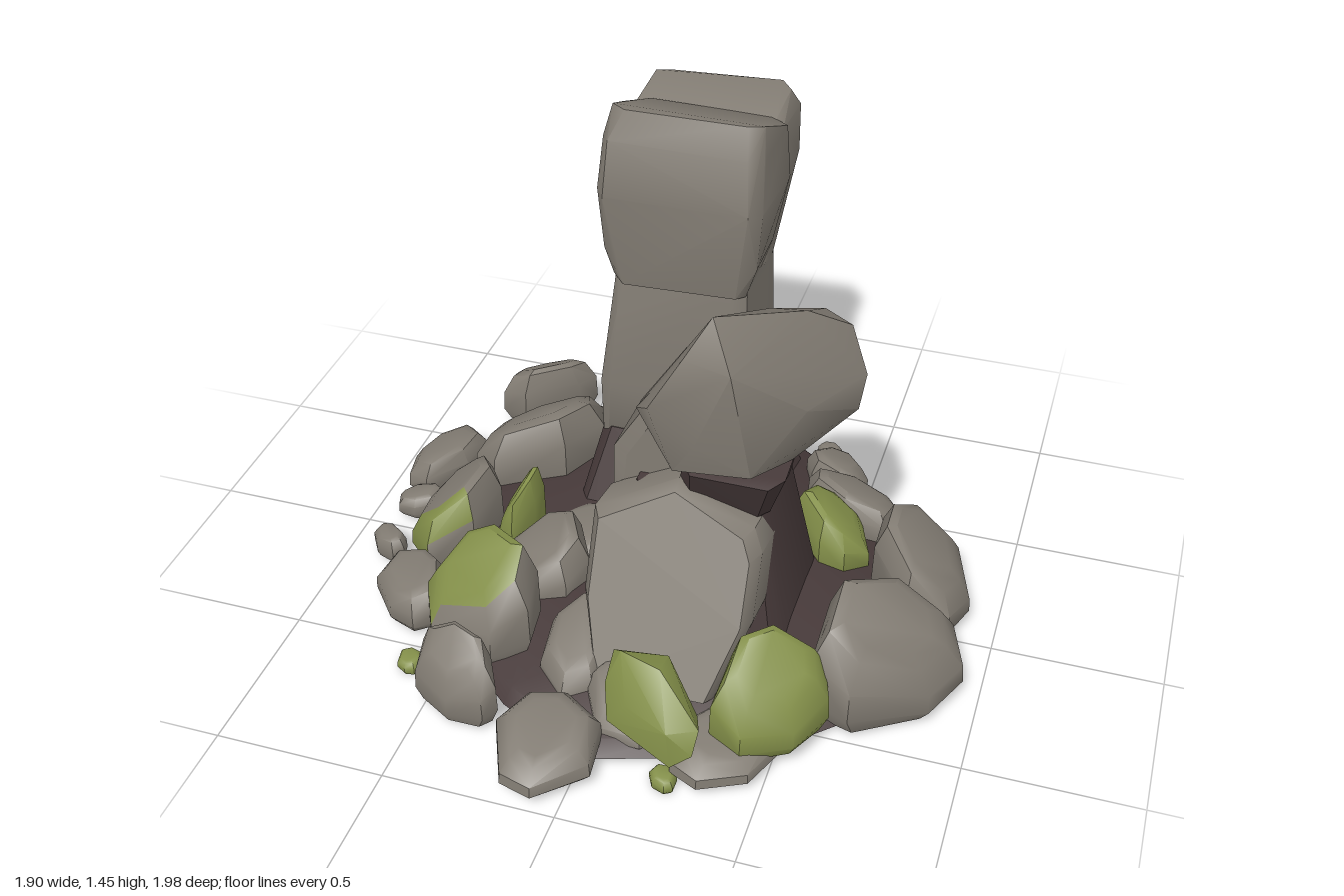
import * as THREE from 'three';
import { toCreasedNormals } from 'three/addons/utils/BufferGeometryUtils.js';
import { ConvexGeometry } from 'three/addons/geometries/ConvexGeometry.js';

const V = (x, y, z) => new THREE.Vector3(x, y, z);

export function createModel() {
  const group = new THREE.Group();
  group.name = 'rockFormation';
  const material = (name, color) => {
    const m = new THREE.MeshStandardMaterial({ color });
    m.name = name;
    return m;
  };
  const stone = material('stone', 0x827c73);
  const moss = material('moss', 0x84904a);
  const earth = material('earth', 0x473a3a);

  // Small seeded generator, returns -1..1
  let seed = 17;
  const rnd = () => {
    seed = (seed * 16807) % 2147483647;
    return (seed / 2147483647) * 2 - 1;
  };

  // Convex stone; triangles facing mossDir become mossy
  function hull(name, points, mat, mossDir) {
    const geo = toCreasedNormals(new ConvexGeometry(points), 0.7);
    let mats = mat;
    if (mossDir) {
      mats = [mat, moss];
      const p = geo.attributes.position;
      const tri = new THREE.Triangle();
      const n = V(0, 0, 0);
      for (let i = 0; i < p.count; i += 3) {
        tri.setFromAttributeAndIndices(p, i, i + 1, i + 2).getNormal(n);
        geo.addGroup(i, 3, n.dot(mossDir) > 0.68 ? 1 : 0);
      }
    }
    const mesh = new THREE.Mesh(geo, mats);
    mesh.name = name;
    group.add(mesh);
  }

  // Block from chamfered rectangular rings [y, x0, x1, z0, z1]; y may slope along z by a sixth value
  function block(name, rings, mat) {
    const c = 0.035, jitter = 0.01;
    const pts = [];
    for (const [y, x0, x1, z0, z1, slope = 0] of rings) {
      for (const [x, z] of [[x0 + c, z0], [x1 - c, z0], [x1, z0 + c], [x1, z1 - c],
        [x1 - c, z1], [x0 + c, z1], [x0, z1 - c], [x0, z0 + c]]) {
        const dy = slope * ((z - z0) / (z1 - z0) - 0.5);
        pts.push(V(x + rnd() * jitter, y + dy + rnd() * jitter, z + rnd() * jitter));
      }
    }
    hull(name, pts, mat);
  }

  // Irregular rubble stone of width w and depth d from y0 up to y1, its top falling away
  // from the centre; skew turns the long axis of its outline
  function rock(name, [x, z, w, d, y1, skew], y0, mat, mossDir) {
    const h = y1 - y0, slope = Math.min(0.45, y1 * 1.4);
    const out = new THREE.Vector2(x, z).normalize();
    const start = rnd() * Math.PI;
    const sides = Array.from({ length: 7 }, (_, i) =>
      [start + (i / 7) * Math.PI * 2 + rnd() * 0.2, 1.06 + rnd() * 0.05]);
    const pts = [];
    for (const [f, r] of [[0, 0.84], [0.25, 1], [0.62, 0.98], [0.92, 0.76], [1, 0.56]]) {
      for (const [a, k] of sides) {
        const lx = Math.cos(a) * k * r, lz = Math.sin(a + skew) * k * r;
        const fall = f * slope * h * (lx * out.x + lz * out.y + 0.4);
        pts.push(V(x + lx * w / 2, y0 + f * h - fall, z + lz * d / 2));
      }
    }
    hull(name, pts, mat, mossDir);
  }

  // Earth mound with an uneven outline
  const radii = [.82, .85, .78, .76, .8, .72, .66, .76, .82, .85, .88, .83, .92, .78, .72, .8];
  const mound = [];
  for (const [y, k] of [[0.02, 1], [0.06, 0.95], [0.13, 0.5]]) {
    radii.forEach((r, i) => {
      const a = (i / 16) * Math.PI * 2;
      mound.push(V(Math.cos(a) * r * k, y, Math.sin(a) * r * k));
    });
  }
  hull('earthMound', mound, earth);

  // Tall pillar on its earth foot
  block('pillarFoot', [[0.05, -0.36, 0.26, -0.68, -0.12], [0.2, -0.31, 0.2, -0.61, -0.2],
    [0.36, -0.29, 0.17, -0.58, -0.24]], earth);
  block('pillarShaft', [[0.34, -0.3, 0.17, -0.58, -0.24], [0.55, -0.285, 0.16, -0.565, -0.2],
    [0.8, -0.265, 0.15, -0.545, -0.23], [0.96, -0.24, 0.16, -0.55, -0.24]], stone);
  block('pillarHeadFront', [[0.91, -0.25, 0.16, -0.5, -0.23], [1.0, -0.275, 0.18, -0.51, -0.21],
    [1.2, -0.285, 0.21, -0.52, -0.2], [1.36, -0.275, 0.2, -0.51, -0.23],
    [1.41, -0.25, 0.19, -0.5, -0.26, 0.08]], stone);
  block('pillarHeadBack', [[0.91, -0.25, 0.16, -0.55, -0.4], [1.02, -0.28, 0.18, -0.63, -0.42],
    [1.2, -0.28, 0.2, -0.68, -0.42], [1.34, -0.265, 0.2, -0.69, -0.44],
    [1.375, -0.24, 0.18, -0.67, -0.46, -0.04]], stone);

  // Leaning column: earth foot, side block, neck and head boulder
  block('columnFoot', [[0.05, -0.1, 0.44, -0.14, 0.3], [0.37, -0.05, 0.38, -0.08, 0.24],
    [0.55, -0.02, 0.36, -0.08, 0.24]], earth);
  block('columnSideBlock', [[0.3, 0, 0.31, -0.23, -0.04], [0.55, -0.01, 0.3, -0.24, -0.03]], stone);
  block('columnNeck', [[0.46, -0.11, 0.26, -0.16, 0.17], [0.6, -0.11, 0.32, -0.14, 0.17],
    [0.84, 0.04, 0.42, -0.09, 0.17]], stone);
  block('columnNeckBack', [[0.53, 0, 0.35, -0.16, 0], [0.82, 0.12, 0.47, -0.11, 0.03]], stone);
  block('columnSeam', [[0.53, 0.1, 0.37, 0, 0.25], [0.7, 0.14, 0.42, 0.02, 0.33]], earth);
  hull('leaningBoulder', [
    [.22, 1.2, .31], [.16, 1.1, .38], [.3, 1.1, .42], [.42, 1.13, .1], [.52, 1.03, -.02],
    [.43, 1.03, -.08], [0, .85, .28], [.06, .92, .37], [.13, .73, .37], [.42, .71, .2],
    [.41, .67, .04], [.3, .68, -.04], [.58, .92, .04], [.57, .83, .08], [.49, .82, -.1],
    [.47, .93, .27], [.35, .76, .38], [.08, .86, .16], [.29, 1.04, -.02], [.2, .85, .41],
  ].map((p) => V(...p)), stone);

  // Slab propped against the front
  const slab = [];
  for (const [x, y] of [[-.11, .52], [.12, .63], [.35, .54], [.38, .48], [.38, .3],
    [.3, .08], [-.05, .08], [-.11, .3]]) {
    const z = 0.28 + (0.65 - y) * 0.46;
    slab.push(V(x, y, z - 0.02), V(x * 0.9 + 0.013, y * 0.94 + 0.02, z + 0.025), V(x, y - 0.03, z - 0.16));
  }
  hull('proppedSlab', slab, stone);

  // Plain rubble stones: [x, z, width, depth, top, skew]
  const backStones = [
    [.12, -.78, .27, .25, .27, .4], [.4, -.57, .2, .21, .17, .2], [.49, -.39, .33, .24, .22, .3],
    [-.55, -.4, .39, .4, .3, -.3], [-.65, -.71, .28, .25, .24, -.4], [-.4, -.61, .2, .18, .15, 0],
    [-.84, -.28, .21, .3, .16, -.2], [-.85, -.08, .14, .12, .1, -.2],
  ];
  const frontStones = [
    [.755, -.13, .29, .41, .29, .1], [.73, .3, .41, .42, .37, -.4], [.38, .66, .28, .32, .12, -.3],
    [-.09, .82, .3, .32, .15, 0], [-.4, .7, .27, .17, .27, .4], [-.69, .34, .25, .27, .16, .4],
    [-.86, .14, .12, .12, .1, .5],
  ];
  const innerStones = [
    [-.33, .18, .3, .28, .27, 0], [-.12, .47, .2, .34, .2, .2],
    [-.22, -.03, .4, .3, .18, 0], [.09, .58, .28, .32, .16, 0],
  ];
  for (const [name, list] of Object.entries({ backStone: backStones, frontStone: frontStones, innerStone: innerStones }))
    list.forEach((r, i) => rock(name + (i + 1), r, 0.02, stone));

  // Stones with moss on one side only
  rock('backMossPatchStone', [-.265, -.82, .31, .32, .36, -.3], 0.02, stone, V(-0.1, 0.45, 0.9).normalize());
  rock('leftMossPatchStone', [-.67, .04, .26, .38, .3, 0], 0.03, stone, V(-0.3, 0.45, 0.84).normalize());
  rock('mossToppedStone', [-.435, .425, .35, .29, .37, .2], 0.04, stone, V(-0.35, 0.9, 0.15).normalize());

  // Fully mossy stones
  [
    [.465, -.215, .25, .25, .27, .3], [.475, .58, .29, .3, .36, -.4], [-.465, .02, .13, .24, .32, .1],
  ].forEach((r, i) => rock(`mossyStone${i + 1}`, r, 0.06, moss));
  hull('mossySlab', [
    [.05, .3, .64], [.08, .33, .67], [.2, .32, .7], [.33, .2, .77], [.32, .13, .8], [.26, .08, .81],
    [.06, .13, .74], [.04, .22, .69], [.2, .3, .62], [.3, .16, .68], [.08, .12, .65],
    [.25, .2, .81], [.12, .22, .76],
  ].map((p) => V(...p)), moss);

  // Loose pebbles
  [[.24, .8, moss], [-.6, .58, moss], [-.65, -.95, moss], [.33, -.77, stone]].forEach(([x, z, mat], i) =>
    rock(`pebble${i + 1}`, [x, z, .08, .08, .045, .2], 0, mat));

  return group;
}
